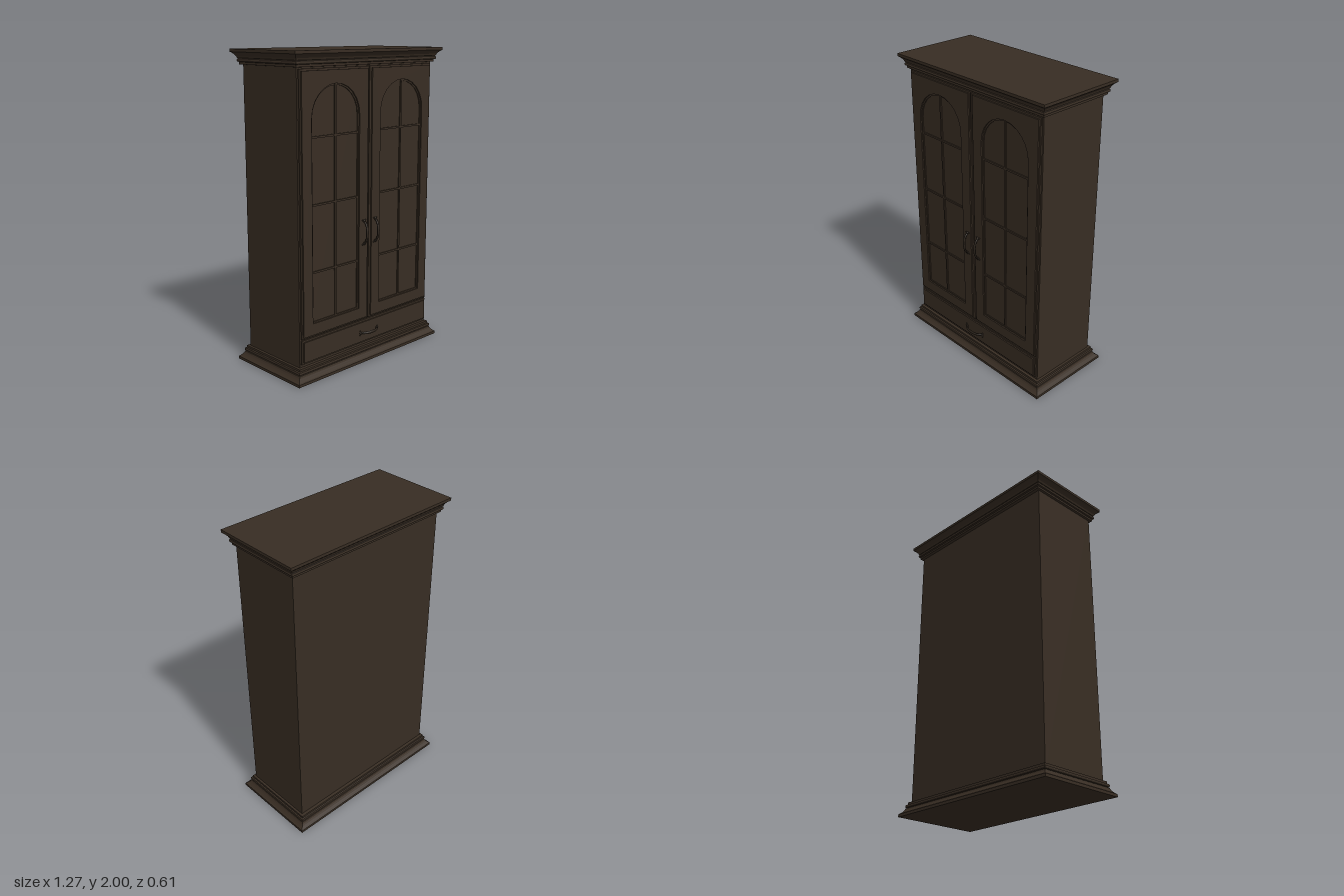
import * as THREE from 'three';

const wood = new THREE.MeshStandardMaterial({ name: 'dark wood', color: 0x382d23 });
const metal = new THREE.MeshStandardMaterial({ name: 'dark bronze', color: 0x2c241c });

const HALF_X = 0.635, HALF_Z = 0.305;

function add(parent, name, geometry, material = wood) {
  const mesh = new THREE.Mesh(geometry, material);
  mesh.name = name;
  parent.add(mesh);
  return mesh;
}

function box(parent, name, x0, x1, y0, y1, z0, z1) {
  const mesh = add(parent, name, new THREE.BoxGeometry(x1 - x0, y1 - y0, z1 - z0));
  mesh.position.set((x0 + x1) / 2, (y0 + y1) / 2, (z0 + z1) / 2);
  return mesh;
}

// Rectangular moulding lofted through [inset, y] points listed bottom to top
function moulding(profile) {
  const pos = [];
  const ring = ([d, y]) => {
    const x = HALF_X - d, z = HALF_Z - d;
    return [[-x, y, z], [x, y, z], [x, y, -z], [-x, y, -z]];
  };
  const quad = (a, b, c, d) => pos.push(...a, ...b, ...c, ...a, ...c, ...d);
  const rings = profile.map(ring);
  for (let i = 0; i < rings.length - 1; i++) {
    for (let k = 0; k < 4; k++) {
      const n = (k + 1) % 4;
      quad(rings[i][k], rings[i][n], rings[i + 1][n], rings[i + 1][k]);
    }
  }
  const first = rings[0], last = rings[rings.length - 1];
  quad(last[0], last[1], last[2], last[3]);
  quad(first[3], first[2], first[1], first[0]);
  const g = new THREE.BufferGeometry();
  g.setAttribute('position', new THREE.Float32BufferAttribute(pos, 3));
  g.computeVertexNormals();
  return g;
}

// Rectangle with an arched opening, extruded from z0 to z1
function archedPanel(hw, y0, y1, cx, r, sill, z0, z1) {
  const s = new THREE.Shape();
  s.moveTo(-hw, y0).lineTo(hw, y0).lineTo(hw, y1).lineTo(-hw, y1).closePath();
  const hole = new THREE.Path();
  hole.moveTo(cx - r, sill);
  const steps = 12;
  for (let i = 0; i <= steps; i++) {
    const a = Math.PI * (1 - i / steps);
    hole.lineTo(cx + r * Math.cos(a), 1.61 + r * Math.sin(a));
  }
  hole.lineTo(cx + r, sill).closePath();
  s.holes.push(hole);
  const g = new THREE.ExtrudeGeometry(s, { depth: z1 - z0, bevelEnabled: false });
  g.translate(0, 0, z0);
  return g;
}

// Bowed pull standing upright, with a small rose at each end
function makeHandle(name) {
  const handle = new THREE.Group();
  handle.name = name;
  const points = [];
  for (let i = 0; i <= 8; i++) {
    const a = Math.PI * i / 8;
    points.push(new THREE.Vector3(0, -0.07 * Math.cos(a), 0.031 * Math.sin(a)));
  }
  const grip = new THREE.TubeGeometry(new THREE.CatmullRomCurve3(points), 20, 0.006, 8);
  // The grip is widest in the middle
  const p = grip.attributes.position;
  for (let i = 0; i < p.count; i++) {
    p.setX(i, p.getX(i) * (1 + 0.8 * Math.max(0, 1 - Math.abs(p.getY(i)) / 0.07)));
  }
  grip.computeVertexNormals();
  add(handle, 'grip', grip, metal);
  for (const side of [-1, 1]) {
    const rose = add(handle, 'rose', new THREE.SphereGeometry(0.008, 10, 8), metal);
    rose.position.set(0, side * 0.076, 0.002);
    for (const x of [-0.014, 0.014]) {
      const stud = add(handle, 'stud', new THREE.SphereGeometry(0.004, 8, 6), metal);
      stud.position.set(x, side * 0.08, 0);
    }
    const plate = add(handle, 'mountPlate', new THREE.BoxGeometry(0.028, 0.008, 0.004), metal);
    plate.position.set(0, side * 0.078, 0);
  }
  return handle;
}

function makeDoor(side) {
  const door = new THREE.Group();
  door.name = side > 0 ? 'leftDoor' : 'rightDoor';
  const hw = 0.27, cx = 0;
  add(door, 'doorFrame', archedPanel(hw + 0.011, 0.276, 1.897, cx, 0.186, 0.369, 0.24, 0.257));
  add(door, 'raisedFrame', archedPanel(hw, 0.287, 1.885, cx, 0.196, 0.36, 0.25, 0.266));
  box(door, 'windowPanel', -0.2, 0.2, 0.35, 1.82, 0.24, 0.251);
  box(door, 'verticalBar', -0.006, 0.006, 0.362, 1.803, 0.245, 0.259);
  for (const y of [0.68, 1.095, 1.5]) {
    box(door, 'crossBar', -0.192, 0.192, y - 0.006, y + 0.006, 0.245, 0.258);
  }
  door.position.x = side * 0.288;
  const handle = makeHandle('doorHandle');
  handle.position.set(side * (0.05 - 0.288), 0.86, 0.267);
  door.add(handle);
  return door;
}

export function createModel() {
  const cabinet = new THREE.Group();
  cabinet.name = 'cabinet';

  // Carcass
  box(cabinet, 'body', -0.58, 0.58, 0.05, 1.95, -0.245, 0.247);

  // Crown and plinth share one moulding profile, mirrored in height
  const profile = [
    [0, 0], [0, 0.018], [0.008, 0.023], [0.018, 0.032], [0.026, 0.042],
    [0.031, 0.054], [0.036, 0.056], [0.031, 0.06], [0.029, 0.068], [0.031, 0.076],
    [0.04, 0.079], [0.04, 0.093], [0.06, 0.095],
  ];
  add(cabinet, 'plinth', moulding(profile));
  add(cabinet, 'crown', moulding(profile.map(([d, y]) => [d, 2 - y]).reverse()));

  // Doors and the strip between them
  for (const side of [-1, 1]) cabinet.add(makeDoor(side));
  box(cabinet, 'centreStrip', -0.004, 0.004, 0.276, 1.897, 0.24, 0.262);

  // Drawer with stepped edge
  box(cabinet, 'drawerEdge', -0.569, 0.569, 0.113, 0.268, 0.24, 0.257);
  box(cabinet, 'drawerFront', -0.558, 0.558, 0.125, 0.256, 0.25, 0.266);
  const pull = makeHandle('drawerHandle');
  pull.rotation.z = Math.PI / 2;
  pull.position.set(0, 0.187, 0.267);
  cabinet.add(pull);

  return cabinet;
}
